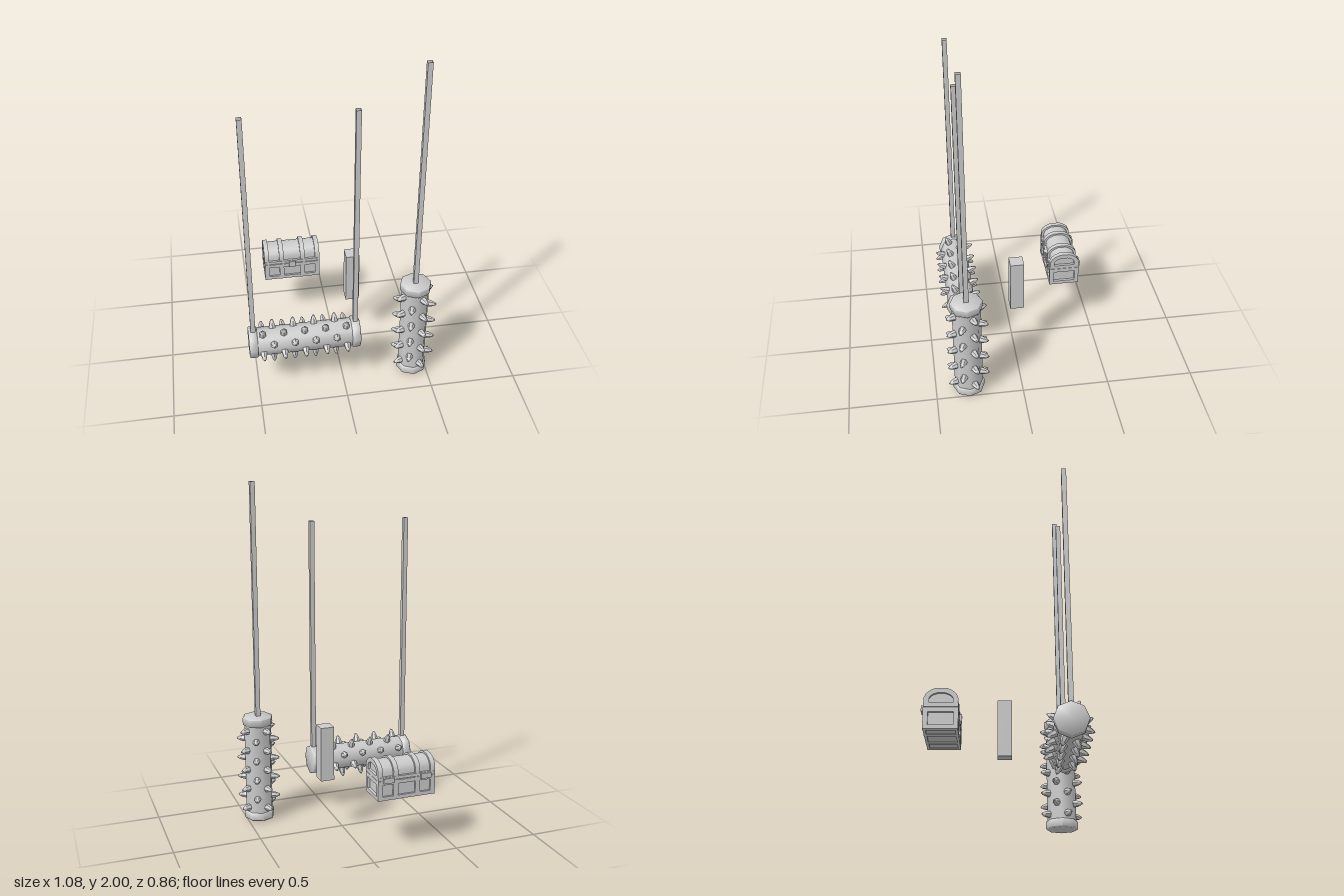
import * as THREE from 'three';
import { mergeGeometries, toCreasedNormals } from 'three/addons/utils/BufferGeometryUtils.js';

const grey = new THREE.MeshStandardMaterial({ color: 0xcccccc });
const greyDouble = new THREE.MeshStandardMaterial({ color: 0xcccccc, side: THREE.DoubleSide });

function add(parent, name, geometry, x = 0, y = 0, z = 0, material = grey) {
  const mesh = new THREE.Mesh(geometry, material);
  mesh.name = name;
  mesh.position.set(x, y, z);
  parent.add(mesh);
  return mesh;
}

const box = (parent, name, w, h, d, x, y, z) => add(parent, name, new THREE.BoxGeometry(w, h, d), x, y, z);

function lathe(points, sides) {
  const g = new THREE.LatheGeometry(points.map(([r, y]) => new THREE.Vector2(r, y)), sides);
  return toCreasedNormals(g, 1.0);
}

// Eight-sided log along y, centred on the origin, with end caps and rows of spikes
function spikedLog(name) {
  const log = new THREE.Group();
  log.name = name;
  add(log, 'logBody', lathe([[0.081, -0.28], [0.081, 0.28]], 8));
  const cap = lathe([[0, 0], [0.084, 0], [0.09, 0.006], [0.09, 0.044], [0.086, 0.049], [0, 0.049]], 8);
  add(log, 'bottomCap', cap, 0, -0.32, 0);
  add(log, 'topCap', cap, 0, 0.32, 0).rotation.x = Math.PI;
  log.children[2].position.y = 0.32;

  const spike = lathe([[0.021, 0], [0.0185, 0.02], [0.013, 0.038], [0.006, 0.051], [0, 0.055]], 6);
  spike.rotateZ(-Math.PI / 2).translate(0.072, 0, 0);
  const spikes = [];
  for (let k = 0; k < 8; k++) {
    const count = k % 2 ? 5 : 4; // neighbouring rows are staggered
    for (let i = 0; i < count; i++) {
      const y = (i - (count - 1) / 2) * 0.12;
      spikes.push(spike.clone().rotateY(-(k + 0.5) * Math.PI / 4).translate(0, y, 0));
    }
  }
  add(log, 'spikes', mergeGeometries(spikes));
  return log;
}

// Square open-ended rope
function rope(parent, x, bottom, top, z) {
  const g = new THREE.CylinderGeometry(0.0191, 0.0191, top - bottom, 4, 1, true).rotateY(Math.PI / 4);
  add(parent, 'rope', toCreasedNormals(g, 0.5), x, (top + bottom) / 2, z, greyDouble);
}

// Slice of a profile drawn in the z-y plane, of given thickness along x
function slice(points, thickness, hole) {
  const vec = (list) => list.map(([x, y]) => new THREE.Vector2(x, y));
  const shape = new THREE.Shape(vec(points));
  if (hole) shape.holes.push(new THREE.Path(vec(hole)));
  const g = new THREE.ExtrudeGeometry(shape, { depth: thickness, bevelEnabled: false });
  g.translate(0, 0, -thickness / 2).rotateY(Math.PI / 2);
  return toCreasedNormals(g, 0.9);
}

// Lid outline: half width w, height h, lifted by y
function arch(w, h, y = 0) {
  const half = [[1, 0], [1, 0.48], [0.88, 0.7], [0.65, 0.87], [0.32, 1]];
  const right = half.map(([a, b]) => [a * w, y + b * h]);
  return [...right, ...right.map(([a, b]) => [-a, b]).reverse()];
}

const rect = (w, y0, y1) => [[w, y0], [w, y1], [-w, y1], [-w, y0]];

function createChest() {
  const chest = new THREE.Group();
  chest.name = 'chest';
  const width = 0.341, rib = 0.028, coreWidth = width - 0.03;

  // Recessed panels behind the frame
  add(chest, 'bodyPanels', slice(rect(0.077, 0.006, 0.115), coreWidth));
  add(chest, 'lidPanels', slice(arch(0.074, 0.09), coreWidth), 0, 0.117, 0);

  // End frames and inner ribs
  const end = (width - rib) / 2;
  for (const s of [-1, 1]) {
    add(chest, 'bodyEndFrame', slice(rect(0.089, 0, 0.115), rib, rect(0.064, 0.022, 0.09)), s * end, 0, 0);
    add(chest, 'lidEndFrame', slice(arch(0.087, 0.1), rib, arch(0.06, 0.052, 0.022)), s * end, 0.117, 0);
    add(chest, 'bodyRib', slice(rect(0.089, 0, 0.115), rib), s * 0.065, 0, 0);
    add(chest, 'lidRib', slice(arch(0.087, 0.1), rib), s * 0.065, 0.117, 0);
    box(chest, 'hinge', 0.06, 0.03, 0.014, s * 0.111, 0.118, -0.095);
    // Long rails on front and back
    box(chest, 'bottomRail', width - 0.004, 0.022, 0.014, 0, 0.011, s * 0.081);
    box(chest, 'bodyTopRail', width, 0.022, 0.014, 0, 0.102, s * 0.083);
    box(chest, 'lidRail', width, 0.018, 0.014, 0, 0.126, s * 0.082);
  }
  box(chest, 'latch', 0.04, 0.04, 0.016, 0, 0.112, 0.091);
  return chest;
}

export function createModel() {
  const model = new THREE.Group();
  model.name = 'trapSet';

  // Upright log on one rope
  const upright = spikedLog('uprightLog');
  upright.position.set(0.419, 0.32, 0.308);
  model.add(upright);
  rope(model, 0.418, 0.63, 2, 0.308);

  // Level log on two ropes
  const level = spikedLog('levelLog');
  level.rotation.z = -Math.PI / 2;
  level.position.set(-0.223, 0.32, 0.308);
  model.add(level);
  for (const s of [-1, 1]) rope(model, -0.221 + s * 0.294, 0.39, 1.77, 0.308);

  // Plain post
  box(model, 'post', 0.08, 0.32, 0.08, 0.108, 0.482, -0.014);

  const chest = createChest();
  chest.position.set(-0.2225, 0.316, -0.333);
  model.add(chest);
  return model;
}
